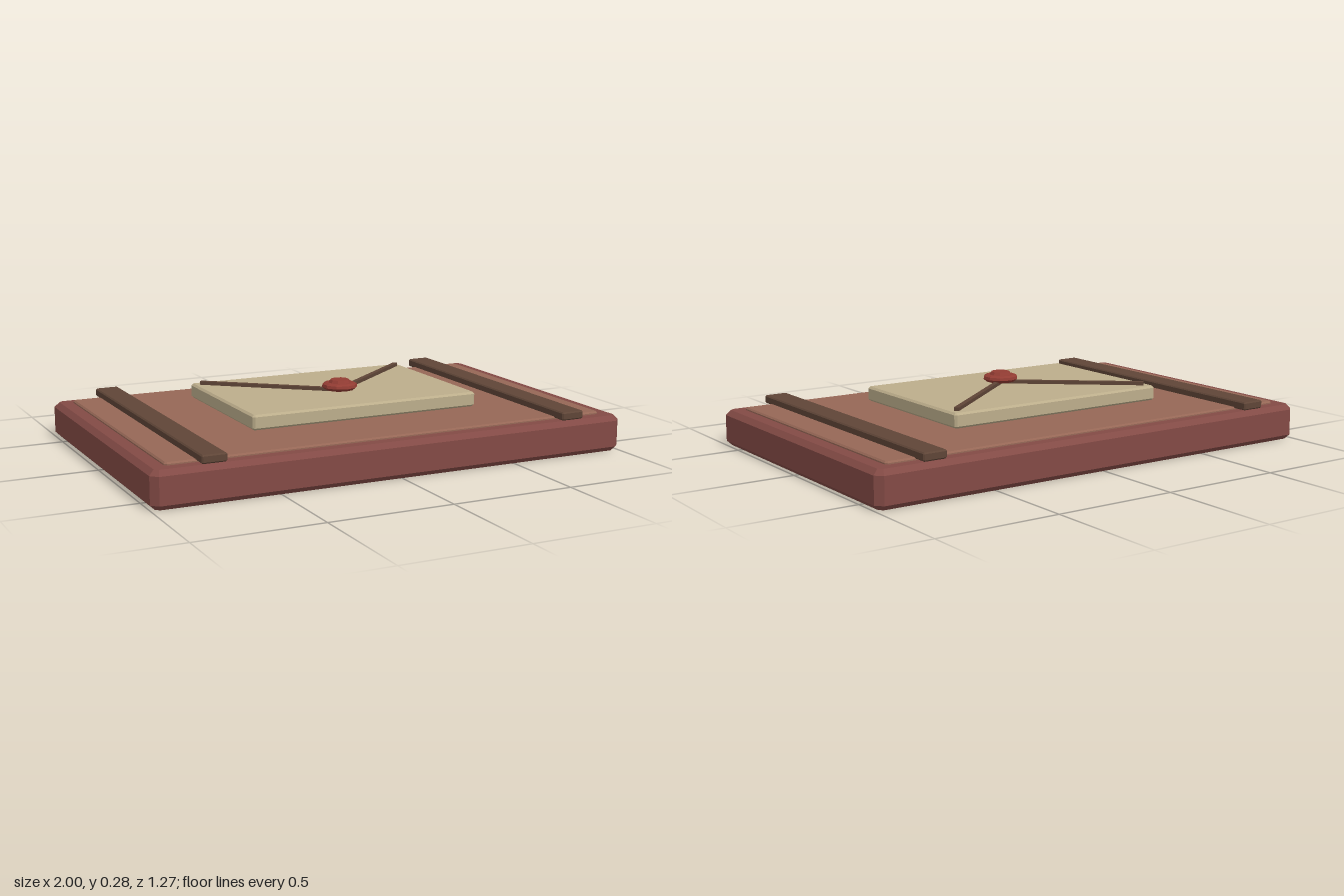
import * as THREE from 'three';

const material = (name, color) => {
  const m = new THREE.MeshStandardMaterial({ color, flatShading: true });
  m.name = name;
  return m;
};

// Box with chamfered edges and corners, spanning y0..y1
function chamferBox(w, d, y0, y1, corner, bevel) {
  const x = w / 2 - bevel, z = d / 2 - bevel, c = corner;
  const shape = new THREE.Shape([
    [x - c, -z], [x, c - z], [x, z - c], [x - c, z],
    [c - x, z], [-x, z - c], [-x, c - z], [c - x, -z],
  ].map(([a, b]) => new THREE.Vector2(a, b)));
  const g = new THREE.ExtrudeGeometry(shape, {
    depth: y1 - y0 - 2 * bevel, bevelEnabled: true,
    bevelThickness: bevel, bevelSize: bevel, bevelSegments: 1,
  });
  return g.rotateX(-Math.PI / 2).translate(0, y0 + bevel, 0);
}

export function createModel() {
  const group = new THREE.Group();
  const leather = material('dark red leather', 0x834a45);
  const tan = material('brown leather', 0x966756);
  const strapBrown = material('strap brown', 0x5f4537);
  const paper = material('parchment', 0xbcad8b);
  const wax = material('red wax', 0x923c33);

  const add = (name, geometry, mat) => {
    const mesh = new THREE.Mesh(geometry, mat);
    mesh.name = name;
    group.add(mesh);
    return mesh;
  };

  // Folder body and inset cover
  add('body', chamferBox(2, 1.27, 0, 0.147, 0.015, 0.02), leather);
  add('coverPanel', chamferBox(1.86, 1.145, 0.12, 0.158, 0.006, 0.006), tan);

  // Straps and envelope fold lines, mirrored left and right
  const foldStart = new THREE.Vector2(0.46, -0.295), foldEnd = new THREE.Vector2(0, 0.08);
  const fold = foldEnd.clone().sub(foldStart);
  for (const side of [1, -1]) {
    const strap = add(side > 0 ? 'leftStrap' : 'rightStrap',
      chamferBox(0.098, 1.264, 0.152, 0.185, 0.002, 0.005), strapBrown);
    strap.position.x = side * 0.763;

    const line = add(side > 0 ? 'leftFold' : 'rightFold',
      new THREE.BoxGeometry(fold.length(), 0.014, 0.02), strapBrown);
    line.position.set(side * 0.23, 0.241, (foldStart.y + foldEnd.y) / 2);
    line.rotation.y = side * Math.atan2(fold.y, -fold.x);
  }

  // Envelope
  add('envelope', chamferBox(0.98, 0.67, 0.174, 0.234, 0.004, 0.008), paper);

  // Wax seal with raised centre
  const sealProfile = [[0, 0.243], [0.058, 0.243], [0.073, 0.255], [0.07, 0.266],
    [0.058, 0.272], [0.046, 0.272], [0.038, 0.284], [0, 0.284]];
  const seal = add('waxSeal', new THREE.LatheGeometry(
    sealProfile.map(([r, y]) => new THREE.Vector2(r, y)), 10), wax);
  seal.position.z = 0.08;

  return group;
}
